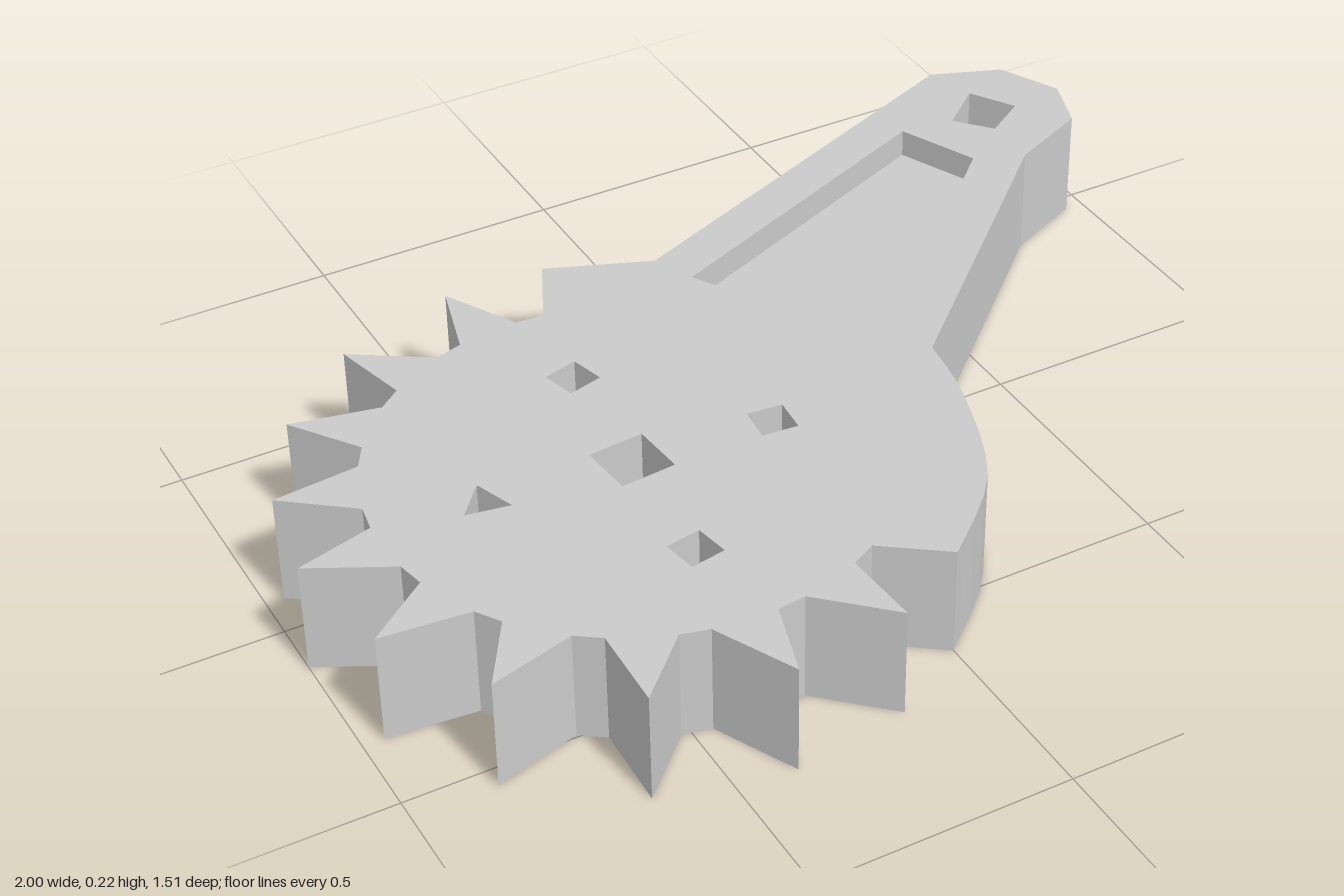
import * as THREE from 'three';

const GEAR = [-0.365, 0.12];      // gear centre (x, z)
const END = [0.813, -0.573];      // arm end hole centre
const polar = ([x, z], r, deg) => {
  const a = THREE.MathUtils.degToRad(deg);
  return [x + r * Math.cos(a), z + r * Math.sin(a)];
};
const ngon = (c, r, n, turn = 0) =>
  Array.from({ length: n }, (_, i) => polar(c, r, turn + (i * 360) / n));
// Plan points run clockwise, so reverse them to wind shapes anticlockwise
const toVectors = (pts) => pts.map(([x, z]) => new THREE.Vector2(x, -z)).reverse();
const smooth = (pts, n) =>
  new THREE.SplineCurve(pts.map((p) => new THREE.Vector2(...p))).getPoints(n).map((p) => [p.x, p.y]);

// Plan of the whole part: arm, smooth bulge, then the toothed rim
function outline() {
  const pts = [
    [0.80, -0.755], [0.94, -0.70], [1.0, -0.575], [0.96, -0.46], [0.80, -0.39],
    ...smooth([[0.28, 0.09], [0.25, 0.25], [0.16, 0.47], [0, 0.625]], 12),
  ];
  const tips = [71, 92, 115, 138.5, 159.5, 181, 199, 219, 240, 263.4, 281.6];
  tips.forEach((tip, i) => {
    const valley = 59.4 + 21.12 * i;
    pts.push(polar(GEAR, 0.485, valley), polar(GEAR, 0.485, valley + 6.6), polar(GEAR, 0.635, tip));
  });
  pts.push([-0.035, -0.42]);
  return pts;
}

export function createModel() {
  const group = new THREE.Group();
  const metal = new THREE.MeshStandardMaterial({ color: 0xcacaca });
  metal.name = 'metal';

  // Horizontal slab between two heights, with holes
  const slab = (name, plan, holes, y0, y1) => {
    const shape = new THREE.Shape(toVectors(plan));
    shape.holes = holes.map((h) => new THREE.Path(toVectors(h)));
    const geo = new THREE.ExtrudeGeometry(shape, { depth: y1 - y0, bevelEnabled: false });
    geo.rotateX(-Math.PI / 2).translate(0, y0, 0);
    const mesh = new THREE.Mesh(geo, metal);
    mesh.name = name;
    group.add(mesh);
  };

  const plan = outline();
  const endHole = [[0.74, -0.575], [0.83, -0.65], [0.885, -0.56], [0.80, -0.505]];
  const axleHole = ngon(GEAR, 0.078, 4, 40);
  const boltHoles = [
    ngon([-0.345, -0.155], 0.05, 4, 30),
    ngon([-0.645, 0.10], 0.05, 3, 40),
    ngon([-0.09, 0.14], 0.05, 4, 50),
    ngon([-0.385, 0.395], 0.05, 4, 35),
  ];
  const armPocket = [[0, -0.335], [0.63, -0.59], [0.70, -0.43], [0.21, 0.03]];
  const bulgePocket = [[0.11, 0.17], [0.19, 0.13], [0.20, 0.27], [0.07, 0.50], [0.02, 0.40]];

  // Underside rim with round recess, pockets and a wider end hole
  const recess = ngon(GEAR, 0.40, 12, 15);
  slab('lowerRim', plan, [recess, armPocket, bulgePocket, ngon(END, 0.10, 6)], 0, 0.07);
  // Hexagonal boss round the axle hole
  slab('hubBoss', ngon(GEAR, 0.145, 6, 10), [axleHole], 0, 0.07);
  // Solid web between the pockets
  slab('web', plan, [axleHole, ...boltHoles, endHole], 0.07, 0.165);
  // Upper face with arm pocket
  slab('upperFace', plan, [axleHole, ...boltHoles, armPocket, endHole], 0.165, 0.222);

  return group;
}
